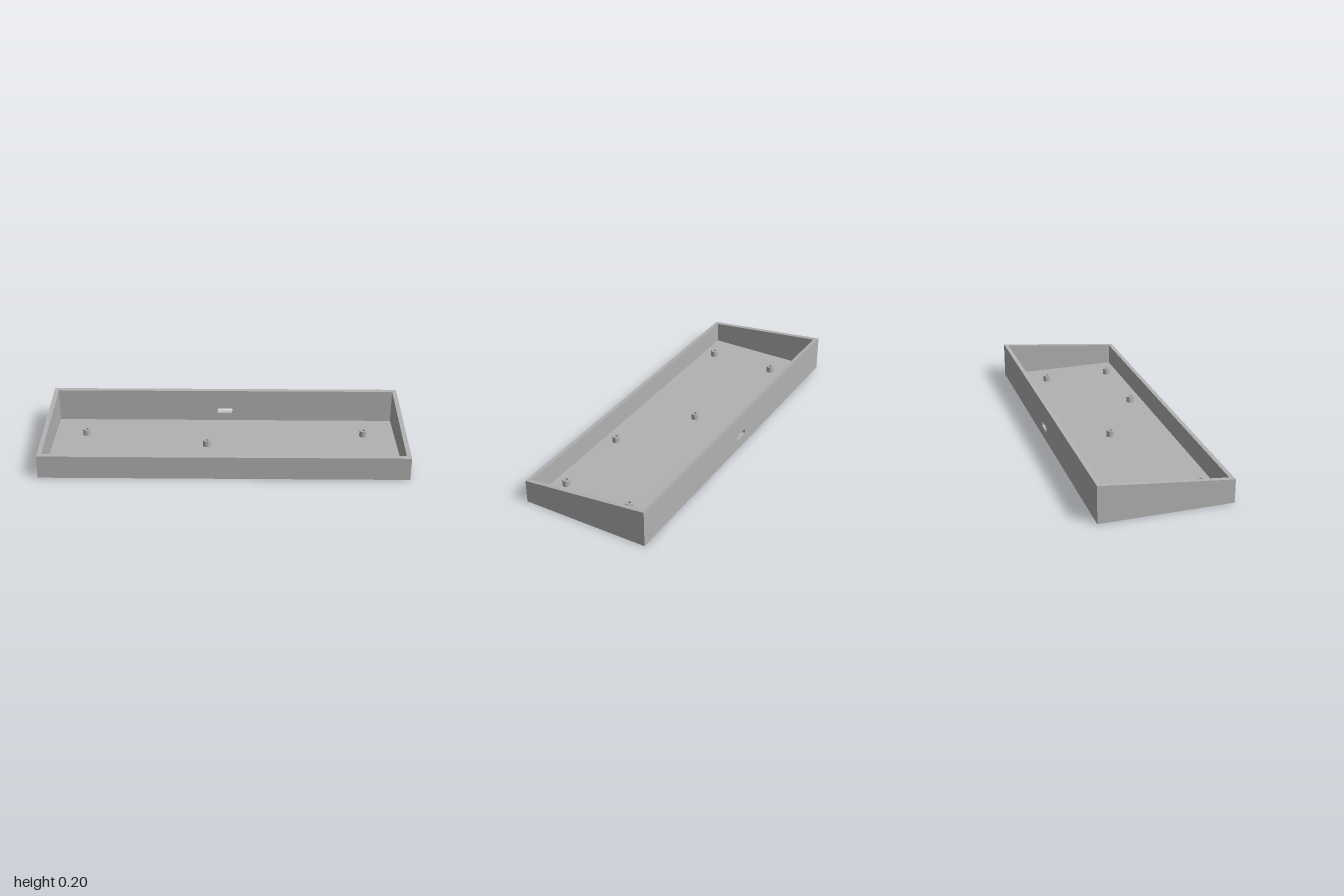
import * as THREE from 'three';
import { mergeGeometries, toCreasedNormals } from 'three/addons/utils/BufferGeometryUtils.js';

const X = 1, Z = 0.355, WALL = 0.025, FLOOR = 0.0125;
const FRONT_H = 0.129, BACK_H = 0.2035;

// Height of the sloping rim at depth z
const rimY = (z) => FRONT_H + (BACK_H - FRONT_H) * (Z - z) / (2 * Z);

// Flat four-cornered face, corners counter-clockwise from its visible side
function quad(a, b, c, d) {
  const g = new THREE.BufferGeometry();
  g.setAttribute('position', new THREE.Float32BufferAttribute([a, b, c, a, c, d].flat(), 3));
  g.computeVertexNormals();
  return g;
}

// Rounded slot outline, centred on x = 0
function slotPath() {
  const w = 0.044, h = 0.016, r = 0.01, y = 0.073;
  const p = new THREE.Path();
  p.absarc(w - r, y - h + r, r, -Math.PI / 2, 0);
  p.absarc(w - r, y + h - r, r, 0, Math.PI / 2);
  p.absarc(-w + r, y + h - r, r, Math.PI / 2, Math.PI);
  p.absarc(-w + r, y - h + r, r, Math.PI, Math.PI * 1.5);
  p.closePath();
  return p;
}

// Back wall face with the slot cut out, facing +z
function slottedFace(halfWidth, y0, y1) {
  const s = new THREE.Shape();
  s.moveTo(-halfWidth, y0).lineTo(halfWidth, y0).lineTo(halfWidth, y1).lineTo(-halfWidth, y1);
  s.closePath();
  s.holes.push(slotPath());
  const g = new THREE.ShapeGeometry(s, 6).toNonIndexed();
  g.deleteAttribute('uv');
  return g;
}

export function createModel() {
  const model = new THREE.Group();
  model.name = 'slopedCase';
  const grey = new THREE.MeshStandardMaterial({ color: 0xb2b2b2 });
  grey.name = 'plainGrey';
  const add = (name, geometry) => {
    const mesh = new THREE.Mesh(geometry, grey);
    mesh.name = name;
    model.add(mesh);
    return mesh;
  };

  // Plan corners: front left of the page, then counter-clockwise from above
  const ring = (x, z) => [[-x, z], [x, z], [x, -z], [-x, -z]];
  const outer = ring(X, Z), inner = ring(X - WALL, Z - WALL);
  const at = ([x, z], y) => [x, y, z];
  const top = (c) => at(c, rimY(c[1]));

  // Floor and underside
  add('floor', quad(...inner.map((c) => at(c, FLOOR))));
  add('underside', quad(...outer.map((c) => at(c, 0)).reverse()));

  // Walls and sloping rim; the back wall (index 2) carries the slot
  const outside = [], inside = [], rim = [];
  for (let i = 0; i < 4; i++) {
    const j = (i + 1) % 4;
    const [a, b, c, d] = [outer[i], outer[j], inner[j], inner[i]];
    rim.push(quad(top(a), top(b), top(c), top(d)));
    if (i === 2) continue;
    outside.push(quad(at(a, 0), at(b, 0), top(b), top(a)));
    inside.push(quad(at(c, FLOOR), at(d, FLOOR), top(d), top(c)));
  }
  outside.push(slottedFace(X, 0, BACK_H).rotateY(Math.PI).translate(0, 0, -Z));
  inside.push(slottedFace(X - WALL, FLOOR, rimY(WALL - Z)).translate(0, 0, WALL - Z));
  add('outerWalls', mergeGeometries(outside));
  add('innerWalls', mergeGeometries(inside));
  add('rim', mergeGeometries(rim));

  // Lining of the cable slot through the back wall
  const pts = slotPath().getPoints(6);
  const lining = [];
  for (let i = 0; i < pts.length - 1; i++) {
    const p = pts[i], q = pts[i + 1];
    if (p.distanceTo(q) < 1e-6) continue;
    lining.push(quad([p.x, p.y, WALL - Z], [q.x, q.y, WALL - Z], [q.x, q.y, -Z], [p.x, p.y, -Z]));
  }
  add('cableSlot', mergeGeometries(lining));

  // Hollow mounting posts
  const R = 0.021, r = 0.01, h = 0.035;
  const profile = [[R, 0], [R, h], [r, h], [r, 0]].map(([x, y]) => new THREE.Vector2(x, y));
  const post = toCreasedNormals(new THREE.LatheGeometry(profile, 32), 0.6);
  const spots = [[-0.795, -0.135], [0.795, -0.135], [-0.1, -0.004],
    [-0.795, 0.255], [0.325, 0.255], [0.795, 0.255]];
  for (const [x, z] of spots) add('mountingPost', post).position.set(x, FLOOR, z);

  return model;
}
